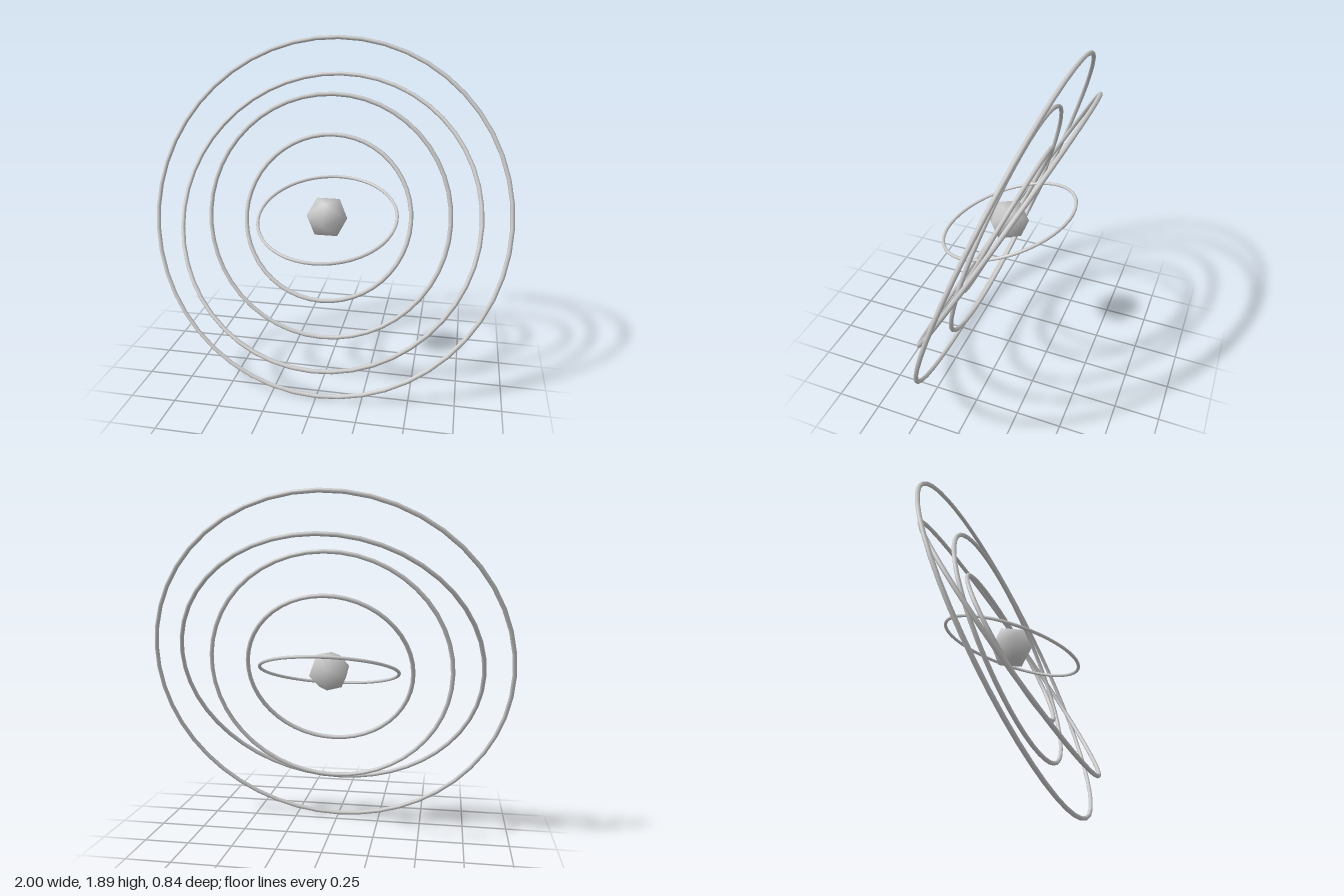
import * as THREE from 'three';

const CENTER_Y = 0.945;

// Smooth-shaded icosahedron standing on one of its faces
function createCoreGeometry(radius) {
  const geometry = new THREE.IcosahedronGeometry(radius, 0);
  const up = new THREE.Vector3(0, 1, 0);
  const tilt = new THREE.Quaternion().setFromUnitVectors(new THREE.Vector3(1, 1, 1).normalize(), up);
  geometry.applyQuaternion(tilt);
  // turn one corner of the top face to the front
  const corner = new THREE.Vector3(0, 1, (1 + Math.sqrt(5)) / 2).applyQuaternion(tilt);
  geometry.rotateY(-Math.atan2(corner.x, corner.z));
  // radial normals give the soft shading
  const normals = geometry.attributes.position.clone();
  geometry.setAttribute('normal', normals);
  geometry.normalizeNormals();
  return geometry;
}

export function createModel() {
  const model = new THREE.Group();
  model.name = 'orbitModel';
  const grey = new THREE.MeshStandardMaterial({ color: 0xcccccc });
  grey.name = 'lightGrey';

  const core = new THREE.Mesh(createCoreGeometry(0.12), grey);
  core.name = 'core';
  core.position.y = CENTER_Y;
  model.add(core);

  // Rings from the inside out: radius, tube radius, backward tilt in degrees
  const rings = [
    [0.383, 0.009, 70.4],
    [0.459, 0.012, 23.6],
    [0.67, 0.012, 15.5],
    [0.832, 0.012, 29.3],
    [0.988, 0.012, 19],
  ];
  rings.forEach(([radius, tube, tilt], i) => {
    const ring = new THREE.Mesh(new THREE.TorusGeometry(radius, tube, 8, 48), grey);
    ring.name = `orbitRing${i + 1}`;
    ring.position.y = CENTER_Y;
    ring.rotation.x = -THREE.MathUtils.degToRad(tilt);
    model.add(ring);
  });

  return model;
}
